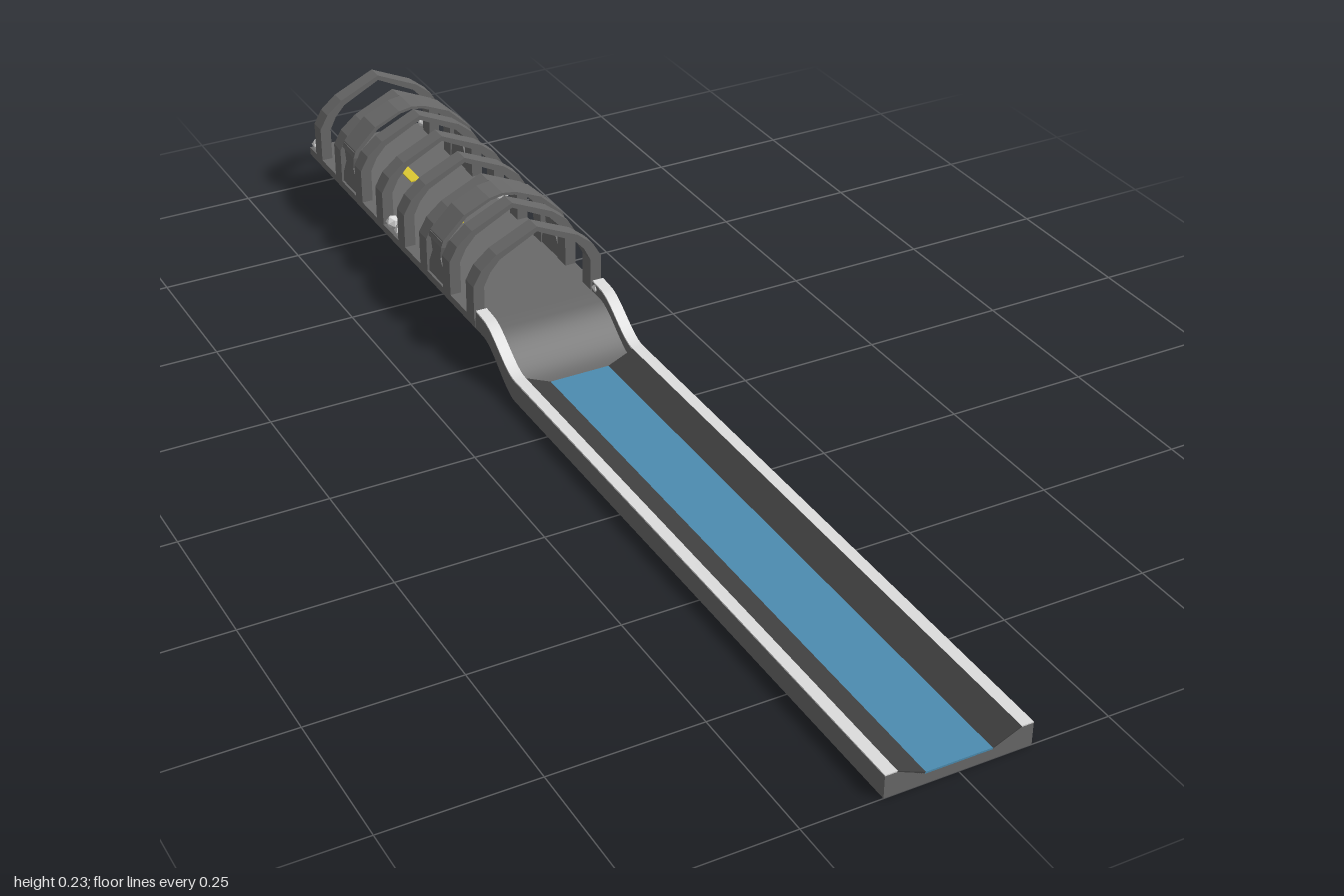
import * as THREE from 'three';
import { toCreasedNormals } from 'three/addons/utils/BufferGeometryUtils.js';

const mat = (name, color) => {
  const m = new THREE.MeshStandardMaterial({ color });
  m.name = name;
  return m;
};

export function createModel() {
  const root = new THREE.Group();
  root.name = 'coveredSlide';
  const grey = mat('grey', 0x696969);
  const dark = mat('darkGrey', 0x404040);
  const blue = mat('blue', 0x4c8cb0);
  const white = mat('paleGrey', 0xdcdcdc);
  const yellow = mat('yellow', 0xdcc832);

  const add = (name, geo, m, parent = root) => {
    const mesh = new THREE.Mesh(geo, m);
    mesh.name = name;
    parent.add(mesh);
    return mesh;
  };
  const toShape = pts => new THREE.Shape(pts.map(p => new THREE.Vector2(p[0], p[1])));
  const extrude = (pts, depth) =>
    new THREE.ExtrudeGeometry(toShape(pts), { depth, bevelEnabled: false });
  // Section in (x, y), running along z from z0 to z1
  const alongZ = (pts, z0, z1) => extrude(pts, z1 - z0).translate(0, 0, z0);
  // Profile in (z, y), running across x from x0 to x1
  const acrossX = (pts, x0, x1) =>
    toCreasedNormals(extrude(pts, x1 - x0).rotateY(-Math.PI / 2).translate(x1, 0, 0), 0.5);
  const box = (name, x0, x1, y0, y1, z0, z1, m, parent) =>
    add(name, new THREE.BoxGeometry(x1 - x0, y1 - y0, z1 - z0)
      .translate((x0 + x1) / 2, (y0 + y1) / 2, (z0 + z1) / 2), m, parent);
  // Half outline mirrored into a full left-right one
  const mirror = half => [...half, ...half.filter(p => p[0] > 0).reverse().map(p => [-p[0], p[1]])];

  // Long lower trough
  const Z_RAMP = -0.12, Z_TOP = -0.24, Z_DECK = -0.27;
  add('trough', alongZ([[-0.12, 0], [0.12, 0], [0.12, 0.038], [0.1, 0.038], [0.055, 0.018],
    [-0.055, 0.018], [-0.1, 0.038], [-0.12, 0.038]], Z_RAMP, 1), grey);
  box('channelFloor', -0.055, 0.055, 0.017, 0.02, Z_RAMP, 1, blue);
  for (const s of [-1, 1]) {
    const wall = [[0.054, 0.017], [0.1, 0.037], [0.1, 0.04], [0.054, 0.02]];
    add('channelWall', alongZ(wall.map(p => [s * p[0], p[1]]), Z_RAMP, 1), dark);
  }

  // S-shaped ramp up to the deck
  const curve = (lo, hi) => Array.from({ length: 15 }, (_, i) => {
    const t = i / 14;
    return [Z_RAMP + (Z_TOP - Z_RAMP) * t, lo + (hi - lo) * t * t * (3 - 2 * t)];
  });
  const slab = (bottom, top) => [...bottom, ...top.slice().reverse()];
  const under = [...curve(0, 0.063), [Z_DECK, 0.063]];
  const floorLine = [...curve(0.018, 0.077), [Z_DECK, 0.077]];
  const railLine = [...curve(0.038, 0.094), [Z_DECK + 0.005, 0.096]];
  add('rampFloor', acrossX(slab(under, floorLine), -0.1, 0.1), grey);

  // Ramp sides and the pale strips along the rail tops
  const strip = [[1, 0.037], ...railLine];
  for (const x of [-0.12, 0.1]) {
    add('rampSide', acrossX(slab(under, railLine), x, x + 0.02), grey);
    add('railStrip', acrossX(slab(strip, strip.map(([z, y]) => [z, y + 0.003])), x, x + 0.02), white);
  }

  // Upper deck with floor markings
  box('deck', -0.12, 0.12, 0.063, 0.077, -1, Z_DECK, grey);
  box('floorMarking', -0.01, 0.01, 0.076, 0.079, -0.654, -0.592, yellow);
  box('floorMarking', -0.01, 0.01, 0.076, 0.079, -0.842, -0.78, yellow);

  // Eight pointed hoops
  const hoopOutline = [
    ...mirror([[0.12, 0.07], [0.12, 0.14], [0.105, 0.166], [0.076, 0.19], [0, 0.225]]),
    ...mirror([[0.1, 0.07], [0.1, 0.136], [0.088, 0.16], [0.07, 0.18], [0, 0.216]])
      .map(p => [-p[0], p[1]]),
  ];
  const hoopGeo = alongZ(hoopOutline, -0.015, 0.015);
  for (let i = 0; i < 8; i++) add('hoop', hoopGeo, grey).position.z = -0.288 - i * 0.0951;

  // Curved roof panels and waisted side posts between paired hoops
  const panel = [
    ...mirror([[0.118, 0.15], [0.114, 0.162], [0.073, 0.202], [0.025, 0.223], [0, 0.227]]),
    ...mirror([[0.11, 0.148], [0.107, 0.158], [0.068, 0.197], [0.023, 0.218], [0, 0.222]])
      .map(p => [-p[0], p[1]]),
  ];
  const post = [[-0.034, 0.075], [0.034, 0.075], [0.03, 0.1], [0.016, 0.125],
    [0.024, 0.16], [-0.024, 0.16], [-0.016, 0.125], [-0.03, 0.1]];
  for (const z of [-0.431, -0.811]) {
    const bay = new THREE.Group();
    bay.name = 'roofBay';
    bay.position.z = z;
    root.add(bay);
    add('roofPanel', alongZ(panel, -0.026, 0.026), grey, bay);
    for (const x of [-0.116, 0.102]) add('sidePost', acrossX(post, x, x + 0.014), grey, bay);
  }

  // Small faceted lamps along the deck edges
  const lampGeo = new THREE.IcosahedronGeometry(0.0125, 0);
  for (const z of [-0.258, -0.604, -0.64, -0.987])
    for (const x of [-0.108, 0.108]) add('edgeLamp', lampGeo, white).position.set(x, 0.087, z);

  return root;
}
